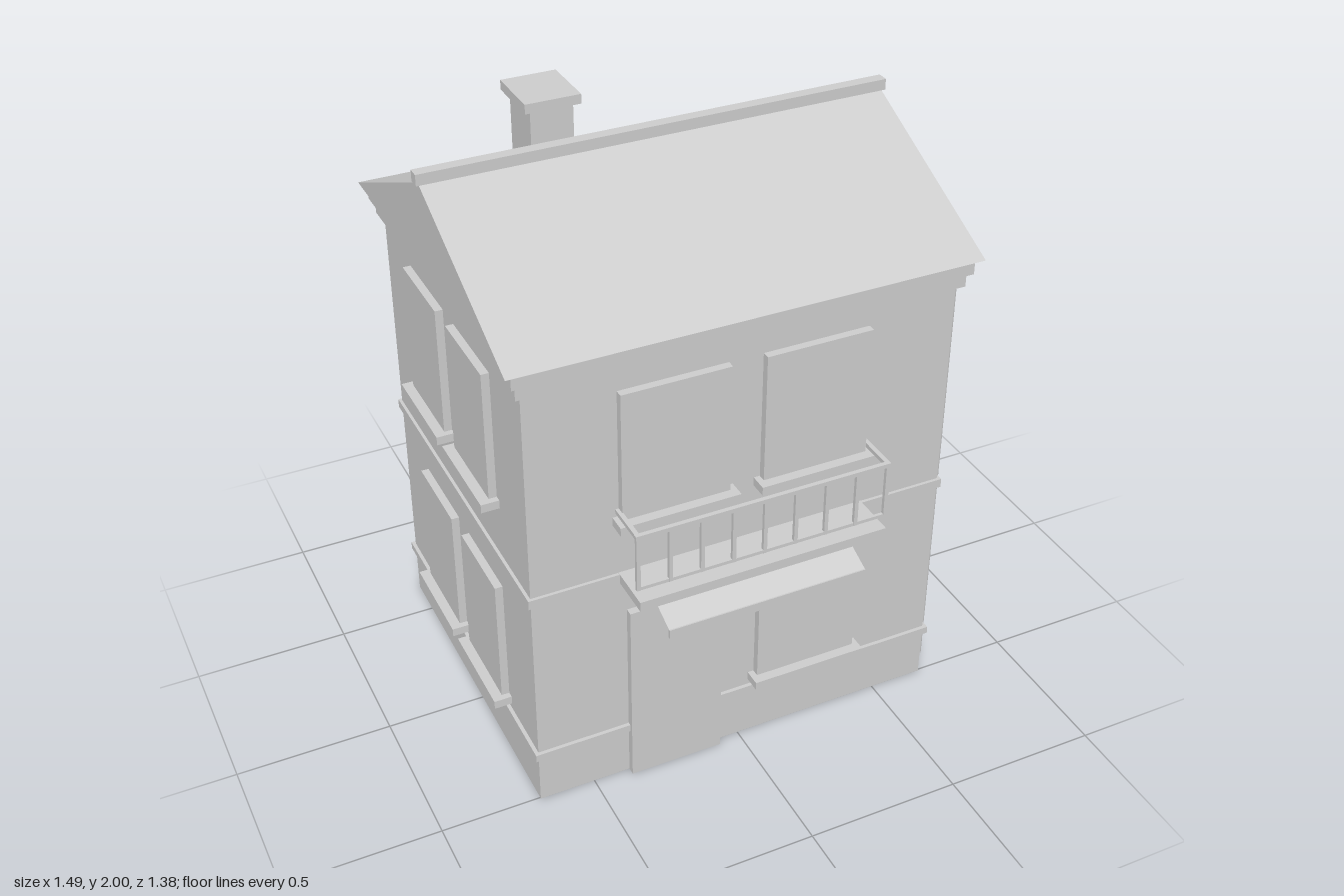
import * as THREE from 'three';

export function createModel() {
  const house = new THREE.Group();
  house.name = 'house';
  const plaster = new THREE.MeshStandardMaterial({ color: 0xcccccc, side: THREE.DoubleSide });
  plaster.name = 'light grey plaster';

  const add = (name, geometry, parent = house) => {
    const mesh = new THREE.Mesh(geometry, plaster);
    mesh.name = name;
    parent.add(mesh);
    return mesh;
  };
  // Box given by its limits on each axis
  const box = (name, [x0, x1], [y0, y1], [z0, z1], parent) => {
    const mesh = add(name, new THREE.BoxGeometry(x1 - x0, y1 - y0, z1 - z0), parent);
    mesh.position.set((x0 + x1) / 2, (y0 + y1) / 2, (z0 + z1) / 2);
    return mesh;
  };

  const W = 0.68, FRONT = 0.505, BACK = -0.63;

  // Walls and the mouldings that run around them
  box('walls', [-W, W], [0, 1.49], [BACK, FRONT]);
  const ring = (name, y0, y1, out) =>
    box(name, [-W - out, W + out], [y0, y1], [BACK - out, FRONT + out]);
  ring('plinthBand', 0.17, 0.195, 0.012);
  ring('floorBand', 0.765, 0.795, 0.01);
  ring('lowerCornice', 1.488, 1.525, 0.02);
  ring('upperCornice', 1.533, 1.572, 0.035);

  // Gabled roof, ridge running along x
  const gable = new THREE.Shape([
    new THREE.Vector2(-0.56, 1.583),
    new THREE.Vector2(0.688, 1.583),
    new THREE.Vector2(0.064, 1.868),
  ]);
  const roof = new THREE.ExtrudeGeometry(gable, { depth: 1.474, bevelEnabled: false });
  roof.translate(0, 0, -0.737).rotateY(Math.PI / 2);
  add('roof', roof);
  box('ridgeCap', [-0.747, 0.747], [1.865, 1.9], [-0.085, -0.048]);

  // Chimney
  box('chimneyShaft', [-0.365, -0.232], [1.7, 1.97], [-0.308, -0.152]);
  box('chimneyCap', [-0.385, -0.212], [1.97, 2], [-0.328, -0.138]);

  // Window panel and sill, on a wall whose outward direction is local +z
  const windowOn = (wall, u0, u1, sillY) => {
    box('windowPanel', [u0, u1], [sillY + 0.028, sillY + 0.452], [0, 0.025], wall);
    box('windowSill', [u0 - 0.02, u1 + 0.02], [sillY, sillY + 0.028], [0, 0.057], wall);
  };
  const wallGroup = (name, x, z, angle) => {
    const wall = new THREE.Group();
    wall.name = name;
    wall.position.set(x, 0, z);
    wall.rotation.y = angle;
    house.add(wall);
    return wall;
  };
  const front = wallGroup('frontWindows', 0, FRONT, 0);
  const back = wallGroup('backWindows', 0, BACK, Math.PI);
  const left = wallGroup('leftWindows', W, 0, Math.PI / 2);
  const right = wallGroup('rightWindows', -W, 0, -Math.PI / 2);
  for (const y of [0.215, 0.972]) {
    windowOn(front, 0.052, 0.395, y);
    if (y > 0.5) windowOn(front, -0.4, -0.057, y);
    windowOn(back, 0.057, 0.4, y);
    windowOn(back, -0.395, -0.052, y);
    windowOn(left, -0.27, 0.018, y);
    windowOn(left, 0.107, 0.395, y);
    windowOn(right, -0.018, 0.27, y);
    windowOn(right, -0.395, -0.107, y);
  }

  // Front door
  box('door', [-0.38, -0.075], [0, 0.648], [FRONT, 0.53]);

  // Sloping sheet awning with a front lip
  const run = 0.182, drop = 0.073;
  const sheet = new THREE.PlaneGeometry(0.65, Math.hypot(run, drop));
  sheet.rotateX(-Math.PI / 2 + Math.atan2(drop, run));
  add('awning', sheet).position.set(-0.003, 0.726, FRONT + run / 2);
  box('awningLip', [-0.328, 0.322], [0.66, 0.69], [0.682, 0.69]);

  // Balcony slab and railing
  box('balconySlab', [-0.405, 0.405], [0.764, 0.796], [FRONT - 0.01, 0.657]);
  box('topRail', [-0.412, 0.412], [1.013, 1.027], [0.634, 0.648]);
  box('bottomRail', [-0.405, 0.405], [0.832, 0.843], [0.636, 0.646]);
  for (let i = 0; i < 9; i++) {
    const x = -0.404 + i * 0.101;
    box('baluster', [x - 0.006, x + 0.006], [0.832, 1.02], [0.635, 0.647]);
  }
  for (const x of [-0.404, 0.404]) {
    box('sideRail', [x - 0.007, x + 0.007], [1.013, 1.027], [FRONT, 0.641]);
  }

  // Downpipe at the front left corner
  add('downpipe', new THREE.CylinderGeometry(0.01, 0.01, 1.415, 10)).position.set(0.694, 0.763, 0.475);

  return house;
}
